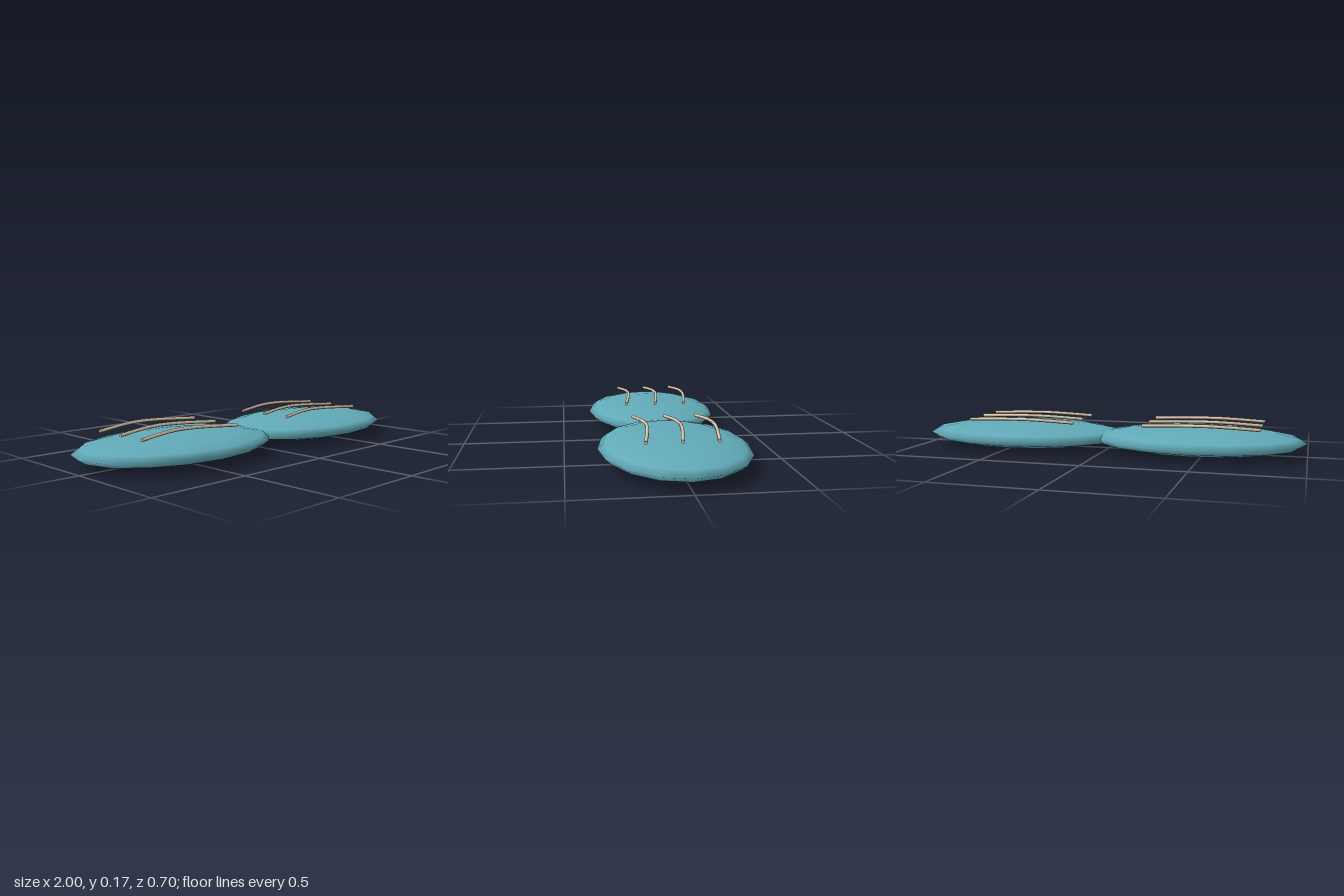
import * as THREE from 'three';

export function createModel() {
  const model = new THREE.Group();
  model.name = 'pairedPads';

  const teal = new THREE.MeshStandardMaterial({ color: 0x62aab8 });
  teal.name = 'teal';
  const beige = new THREE.MeshStandardMaterial({ color: 0xd9c6ac });
  beige.name = 'beige';

  // Flattened oval pad shared by both halves
  const padGeometry = new THREE.SphereGeometry(1, 16, 8);
  padGeometry.scale(0.537, 0.065, 0.351);

  // Wavy strand: rises and bends backwards towards its crest
  const strandRadius = 0.0085;
  const profile = [[-0.32, 0], [-0.16, 0.8], [-0.07, 1], [0.05, 0.8], [0.25, 0]];
  const path = new THREE.CatmullRomCurve3(
    profile.map(([x, t]) => new THREE.Vector3(x, 0.146 + 0.014 * t, 0.155 - 0.155 - 0.037 * t)));
  const strandGeometry = new THREE.TubeGeometry(path, 16, strandRadius, 6, false);
  const capGeometry = new THREE.CircleGeometry(strandRadius, 6);

  function makeStrand() {
    const strand = new THREE.Group();
    strand.name = 'strand';
    const tube = new THREE.Mesh(strandGeometry, beige);
    tube.name = 'strandTube';
    strand.add(tube);
    // Close both ends, facing outwards
    for (const [t, sign] of [[0, -1], [1, 1]]) {
      const cap = new THREE.Mesh(capGeometry, beige);
      cap.name = 'strandEnd';
      const end = path.getPointAt(t);
      cap.position.copy(end);
      cap.lookAt(end.clone().addScaledVector(path.getTangentAt(t), sign));
      strand.add(cap);
    }
    return strand;
  }

  for (const [side, x] of [['left', 0.463], ['right', -0.463]]) {
    const half = new THREE.Group();
    half.name = side + 'Half';
    half.position.x = x;

    const pad = new THREE.Mesh(padGeometry, teal);
    pad.name = side + 'Pad';
    pad.position.y = 0.065;
    half.add(pad);

    // Three parallel strands above each pad
    for (const z of [-0.158, 0, 0.158]) {
      const strand = makeStrand();
      strand.position.z = z;
      half.add(strand);
    }
    model.add(half);
  }
  return model;
}
